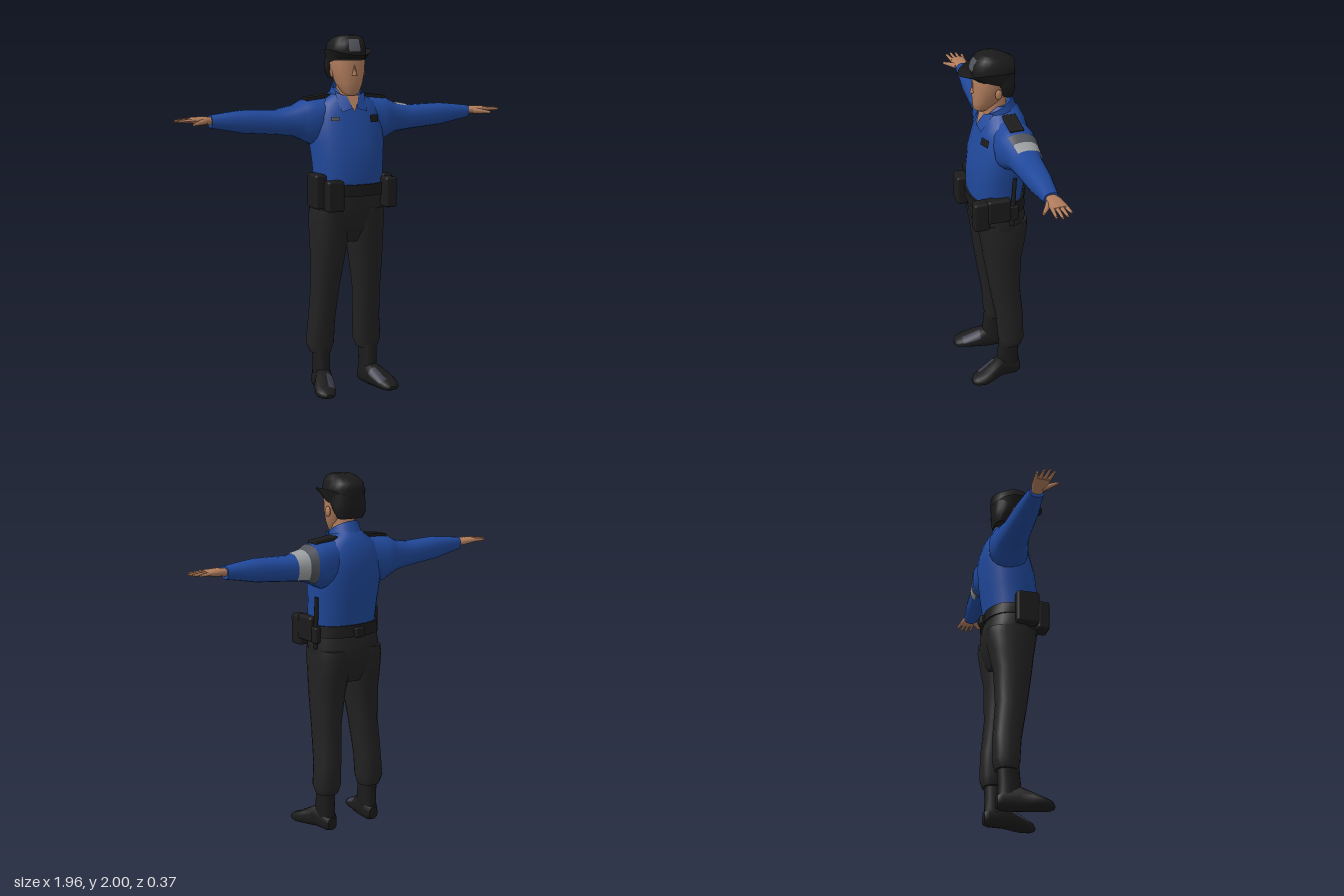
import * as THREE from 'three';
import { RoundedBoxGeometry } from 'three/addons/geometries/RoundedBoxGeometry.js';

const mat = (name, color, side = THREE.FrontSide) => {
  const m = new THREE.MeshStandardMaterial({ color, side });
  m.name = name;
  return m;
};

// Skin a stack of rings [t, u0, u1, v0, v1] along an axis; an arc makes an open patch.
// axis y: u=x v=z, axis x: u=z v=y, axis z: u=y v=x. t must increase.
function loft(axis, rings, { sides = 18, p = 0.85, arc = null } = {}) {
  const pos = [], idx = [];
  const n = arc ? sides + 1 : sides;
  const place = (t, u, v) => axis === 'y' ? pos.push(u, t, v) : axis === 'x' ? pos.push(t, v, u) : pos.push(v, u, t);
  const pw = (c) => Math.sign(c) * Math.abs(c) ** p;
  const ring = ([t, u0, u1, v0, v1]) => {
    for (let i = 0; i < n; i++) {
      const a = arc ? arc[0] + (arc[1] - arc[0]) * i / sides : 2 * Math.PI * i / sides;
      place(t, (u0 + u1) / 2 + (u1 - u0) / 2 * pw(Math.cos(a)), (v0 + v1) / 2 + (v1 - v0) / 2 * pw(Math.sin(a)));
    }
  };
  rings.forEach(ring);
  for (let r = 0; r < rings.length - 1; r++) for (let i = 0; i < sides; i++) {
    const j = arc ? i + 1 : (i + 1) % n, a = r * n + i, b = r * n + j;
    idx.push(a, a + n, b, b, a + n, b + n);
  }
  if (!arc) [rings[0], rings.at(-1)].forEach((R, end) => {
    const s = pos.length / 3;
    ring(R);
    place(R[0], (R[1] + R[2]) / 2, (R[3] + R[4]) / 2);
    for (let i = 0; i < n; i++) {
      const j = (i + 1) % n;
      end ? idx.push(s + n, s + j, s + i) : idx.push(s + n, s + i, s + j);
    }
  });
  return build(pos, idx);
}

function build(pos, idx) {
  const g = new THREE.BufferGeometry();
  g.setAttribute('position', new THREE.Float32BufferAttribute(pos, 3));
  g.setIndex(idx);
  g.computeVertexNormals();
  return g;
}

// Part of a ring stack between t0 and t1, grown outward by d.
function cut(rings, t0, t1, d) {
  const at = (t) => {
    const k = Math.max(1, rings.findIndex((r) => r[0] >= t));
    const A = rings[k - 1], B = rings[k], f = (t - A[0]) / (B[0] - A[0]);
    return A.map((a, i) => a + (B[i] - a) * f);
  };
  return [at(t0), ...rings.filter((r) => r[0] > t0 && r[0] < t1), at(t1)]
    .map(([t, a, b, c, e]) => [t, a - d, b + d, c - d, e + d]);
}

// Mirror across x, keeping faces outward.
function mirror(g) {
  const m = g.clone();
  if (!m.index) m.setIndex([...Array(m.attributes.position.count).keys()]);
  m.scale(-1, 1, 1);
  const a = m.index.array;
  for (let i = 0; i < a.length; i += 3) [a[i], a[i + 1]] = [a[i + 1], a[i]];
  m.computeVertexNormals();
  return m;
}

const box = (w, h, d, x, y, z, r = 0.015) => new RoundedBoxGeometry(w, h, d, 2, r).translate(x, y, z);

// Tapered rod between two points.
function rod(a, b, r0, r1) {
  const A = new THREE.Vector3(...a), B = new THREE.Vector3(...b), d = B.clone().sub(A);
  const g = new THREE.CylinderGeometry(r1, r0, d.length(), 8);
  g.applyQuaternion(new THREE.Quaternion().setFromUnitVectors(new THREE.Vector3(0, 1, 0), d.normalize()));
  return g.translate(...A.add(B).multiplyScalar(0.5).toArray());
}

export function createModel() {
  const root = new THREE.Group();
  root.name = 'officer';
  const D = THREE.DoubleSide;
  const shirt = mat('shirt blue', 0x20489a, D), trousers = mat('trouser black', 0x222222);
  const gear = mat('gear black', 0x1b1b1b, D), skin = mat('skin', 0xb07c5c, D);
  const pale = mat('pale grey', 0x9a9da0, D), grey = mat('dark grey', 0x50535a, D);
  const slate = mat('slate', 0x3a3a4a, D);
  const add = (name, g, m) => {
    const mesh = new THREE.Mesh(g, m);
    mesh.name = name;
    root.add(mesh);
  };
  const pair = (name, g, m) => {
    add(name + 'Left', g, m);
    add(name + 'Right', mirror(g), m);
  };

  // Torso and sleeves
  const torso = [[1.15, -0.19, 0.195, -0.145, 0.135], [1.22, -0.192, 0.198, -0.155, 0.142], [1.32, -0.198, 0.205, -0.17, 0.14],
    [1.42, -0.21, 0.215, -0.18, 0.128], [1.5, -0.21, 0.21, -0.186, 0.105], [1.57, -0.2, 0.2, -0.183, 0.088],
    [1.63, -0.17, 0.17, -0.165, 0.068], [1.68, -0.09, 0.09, -0.14, 0.035], [1.71, -0.06, 0.06, -0.11, 0.01]];
  add('shirtBody', loft('y', torso, { sides: 24 }), shirt);
  const sleeve = [[0.08, -0.15, 0.04, 1.45, 1.665], [0.2, -0.178, 0.05, 1.4, 1.655], [0.25, -0.168, 0.04, 1.425, 1.648],
    [0.3, -0.16, 0.022, 1.45, 1.62], [0.4, -0.146, 0.01, 1.463, 1.6], [0.5, -0.135, 0.005, 1.472, 1.603],
    [0.6, -0.125, 0, 1.48, 1.605], [0.7, -0.11, -0.012, 1.5, 1.595], [0.78, -0.1, -0.02, 1.515, 1.585]];
  pair('sleeve', loft('x', sleeve), shirt);
  add('armbandDark', loft('x', cut(sleeve, 0.26, 0.31, 0.004), { arc: [1, 4.2] }), grey);
  add('armbandPale', loft('x', cut(sleeve, 0.31, 0.38, 0.004), { arc: [1, 4] }), pale);
  pair('epaulette', box(0.15, 0.02, 0.075, 0, 0, 0, 0.006).rotateZ(-0.12).translate(0.165, 1.66, -0.06), gear);
  add('chestPatch', loft('y', cut(torso, 1.525, 1.565, 0.008), { arc: [0.84, 1.18], sides: 4 }), gear);
  add('chestBadge', loft('y', cut(torso, 1.54, 1.562, 0.008), { arc: [1.96, 2.2], sides: 4 }), grey);

  // Collar: a band open at the front, high at the back, with two points
  const cp = [], ci = [], N = 20;
  for (let i = 0; i <= N; i++) {
    const a = 0.45 + (2 * Math.PI - 0.9) * i / N, s = Math.sin(a), c = Math.cos(a);
    cp.push(0.105 * s, 1.62 - 0.03 * c, -0.035 + 0.11 * c, 0.08 * s, 1.71 - 0.045 * c, -0.02 + 0.083 * c);
    if (i < N) ci.push(2 * i, 2 * i + 2, 2 * i + 1, 2 * i + 1, 2 * i + 2, 2 * i + 3);
  }
  add('collar', build(cp, ci), shirt);
  pair('collarPoint', build([0.035, 1.67, 0.062, 0.088, 1.69, 0.02, 0.075, 1.585, 0.09, 0.012, 1.605, 0.095],
    [0, 3, 2, 0, 2, 1]), shirt);
  add('openNeck', build([-0.045, 1.675, 0.058, 0, 1.585, 0.094, 0.045, 1.675, 0.058], [0, 1, 2]), skin);
  add('neck', loft('y', [[1.58, -0.06, 0.06, -0.08, 0.06], [1.66, -0.058, 0.052, -0.075, 0.06], [1.76, -0.06, 0.05, -0.075, 0.05]]), skin);

  // Hands
  pair('palm', loft('x', [[0.76, -0.085, -0.032, 1.53, 1.572], [0.82, -0.1, -0.022, 1.537, 1.58],
    [0.88, -0.106, -0.014, 1.545, 1.577], [0.9, -0.1, -0.02, 1.55, 1.573]]), skin);
  for (let i = 0; i < 4; i++) {
    const z = -0.092 + 0.022 * i;
    pair('finger' + i, rod([0.87, 1.562, z], [[0.945, 0.972, 0.982, 0.968][i], 1.56, z - 0.012 + 0.007 * i], 0.012, 0.007), skin);
  }
  pair('thumb', rod([0.815, 1.553, -0.035], [0.895, 1.545, 0.022], 0.018, 0.008), skin);

  // Head
  add('head', loft('y', [[1.675, -0.035, 0.015, 0.045, 0.085], [1.69, -0.055, 0.035, 0.01, 0.104], [1.74, -0.083, 0.063, -0.04, 0.108],
    [1.8, -0.1, 0.08, -0.07, 0.108], [1.86, -0.108, 0.088, -0.09, 0.105], [1.9, -0.105, 0.085, -0.095, 0.1]]), skin);
  add('nose', new THREE.ConeGeometry(0.016, 0.06, 6).translate(-0.01, 1.815, 0.108), skin);
  pair('ear', new THREE.SphereGeometry(1, 8, 6).scale(0.012, 0.03, 0.02).translate(0.093, 1.8, -0.005), skin);
  add('hair', loft('y', [[1.765, -0.088, 0.068, -0.105, -0.035], [1.8, -0.107, 0.087, -0.114, -0.02],
    [1.84, -0.113, 0.093, -0.118, 0.02], [1.9, -0.112, 0.092, -0.118, 0.05]]), gear);

  // Hat with a brim turned up at the sides
  const crown = [[1.865, -0.112, 0.092, -0.118, 0.105], [1.92, -0.114, 0.094, -0.122, 0.118], [1.955, -0.108, 0.088, -0.12, 0.107],
    [1.985, -0.092, 0.076, -0.06, 0.085], [2, -0.06, 0.045, -0.01, 0.06]];
  add('hatCrown', loft('y', crown), gear);
  add('hatBadge', loft('y', cut(crown, 1.915, 1.98, 0.005), { arc: [1.3, 1.84], sides: 5 }), grey);
  const bp = [], bi = [], M = 32;
  for (let i = 0; i < M; i++) {
    const a = 2 * Math.PI * i / M, s = Math.sin(a), c = Math.cos(a), f = Math.max(c, 0);
    bp.push(-0.01 + 0.102 * s, 1.85 + 0.03 * f, -0.005 + 0.11 * c);
    bp.push(-0.01 + 0.124 * s, 1.89 + 0.035 * s * s + 0.006 * f, c > 0 ? 0.005 + 0.18 * c : 0.005 + 0.13 * c);
    const j = (i + 1) % M;
    bi.push(2 * i, 2 * i + 1, 2 * j, 2 * j, 2 * i + 1, 2 * j + 1);
  }
  add('hatBrim', build(bp, bi), gear);

  // Trousers
  add('hips', loft('y', [[0.86, -0.12, 0.12, -0.12, 0.06], [0.93, -0.17, 0.17, -0.15, 0.095], [1, -0.207, 0.21, -0.166, 0.118],
    [1.07, -0.205, 0.208, -0.166, 0.132], [1.16, -0.195, 0.2, -0.15, 0.138]], { sides: 24 }), trousers);
  pair('trouserLeg', loft('y', [[0.22, 0.085, 0.205, -0.122, 0], [0.27, 0.068, 0.225, -0.136, 0.01], [0.4, 0.065, 0.213, -0.135, 0.02],
    [0.6, 0.05, 0.205, -0.118, 0.055], [0.8, 0.018, 0.21, -0.125, 0.085], [0.9, 0, 0.212, -0.146, 0.098],
    [1, -0.01, 0.212, -0.163, 0.115], [1.05, 0, 0.205, -0.16, 0.12]]), trousers);

  // Boots
  pair('bootShaft', loft('y', [[0.07, 0.098, 0.192, -0.112, 0.02], [0.15, 0.1, 0.192, -0.108, 0.015], [0.25, 0.098, 0.195, -0.112, 0.005]]), gear);
  const foot = [[-0.115, 0.01, 0.08, 0.115, 0.175], [-0.09, 0, 0.11, 0.098, 0.19], [0, 0, 0.135, 0.1, 0.2], [0.06, 0, 0.1, 0.113, 0.235],
    [0.12, 0, 0.068, 0.13, 0.252], [0.165, 0.003, 0.05, 0.15, 0.24], [0.183, 0.01, 0.03, 0.175, 0.215]];
  pair('bootFoot', loft('z', foot), gear);
  pair('bootPanel', loft('z', cut(foot, 0.04, 0.14, 0.003), { arc: [-1.25, -0.2], sides: 6 }), slate);

  // Belt and equipment
  add('belt', loft('y', [[1.125, -0.206, 0.21, -0.167, 0.146], [1.19, -0.2, 0.206, -0.16, 0.15]], { sides: 24 }), gear);
  add('holster', box(0.07, 0.19, 0.13, -0.205, 1.155, 0.04), gear);
  add('frontPouchRight', box(0.1, 0.17, 0.07, -0.145, 1.135, 0.14), gear);
  add('sidePouchLeft', box(0.065, 0.14, 0.13, 0.2, 1.165, 0.03), gear);
  add('frontPouchLeft', box(0.07, 0.17, 0.09, 0.19, 1.14, 0.125), gear);
  add('backPouch', box(0.06, 0.055, 0.03, 0, 1.15, -0.168, 0.008), gear);
  add('batonHolder', box(0.035, 0.09, 0.05, 0.21, 1.14, -0.055, 0.01), gear);
  add('baton', rod([0.208, 1.06, -0.045], [0.208, 1.35, -0.06], 0.014, 0.011), gear);
  return root;
}
